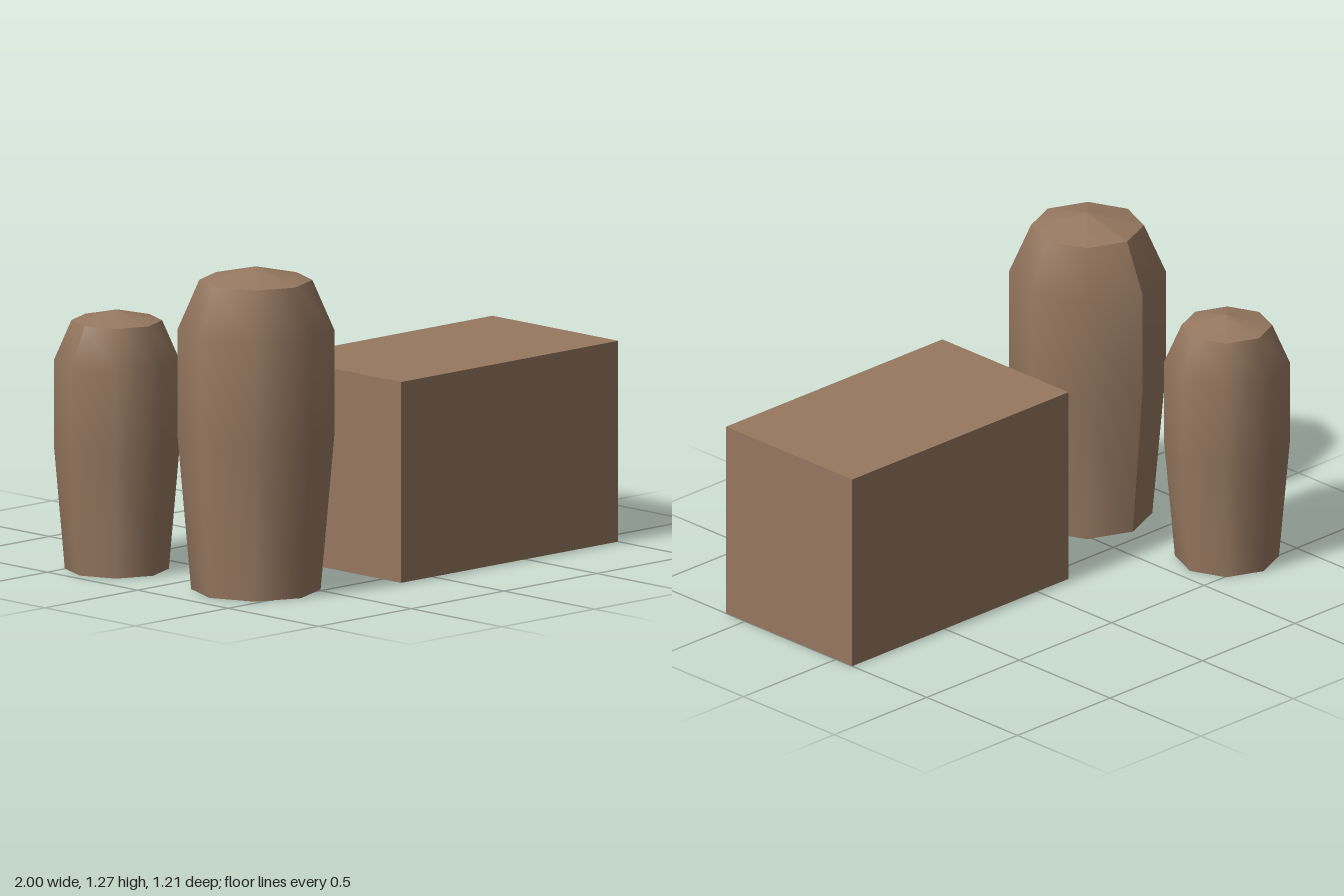
import * as THREE from 'three';

const SIDES = 8;

// Eight-sided shell, open at the bottom, with a shallow pointed lid
function makeBarrel(name, material, scale, x, z, seam) {
  const barrel = new THREE.Group();
  barrel.name = name;
  const lathe = (part, profile) => {
    const points = profile.map(([r, y]) => new THREE.Vector2(r * scale, y * scale));
    const geometry = new THREE.LatheGeometry(points, SIDES, seam);
    geometry.computeVertexNormals();
    const mesh = new THREE.Mesh(geometry, material);
    mesh.name = part;
    barrel.add(mesh);
  };
  lathe('barrelSide', [[0.25, 0], [0.303, 0.61], [0.303, 1.02], [0.218, 1.217]]);
  lathe('barrelLid', [[0.218, 1.217], [0, 1.27]]);
  barrel.position.set(x, 0, z);
  return barrel;
}

// Crate with no underside
function makeCrate(material, width, height, depth) {
  const geometry = new THREE.BoxGeometry(width, height, depth);
  const index = Array.from(geometry.index.array);
  const bottom = geometry.groups[3];
  index.splice(bottom.start, bottom.count);
  geometry.setIndex(index);
  geometry.clearGroups();
  const crate = new THREE.Mesh(geometry, material);
  crate.name = 'crate';
  return crate;
}

export function createModel() {
  const model = new THREE.Group();
  model.name = 'barrelsAndCrate';
  const wood = new THREE.MeshStandardMaterial({ color: 0x967860 });
  wood.name = 'brown wood';
  wood.side = THREE.DoubleSide;

  model.add(makeBarrel('largeBarrel', wood, 1, -0.658, 0.303, Math.PI));
  model.add(makeBarrel('smallBarrel', wood, 0.803, -0.757, -0.364, -Math.PI / 2));

  const crate = makeCrate(wood, 1.17, 0.79, 0.695);
  crate.position.set(0.415, 0.395, 0.258);
  model.add(crate);
  return model;
}
